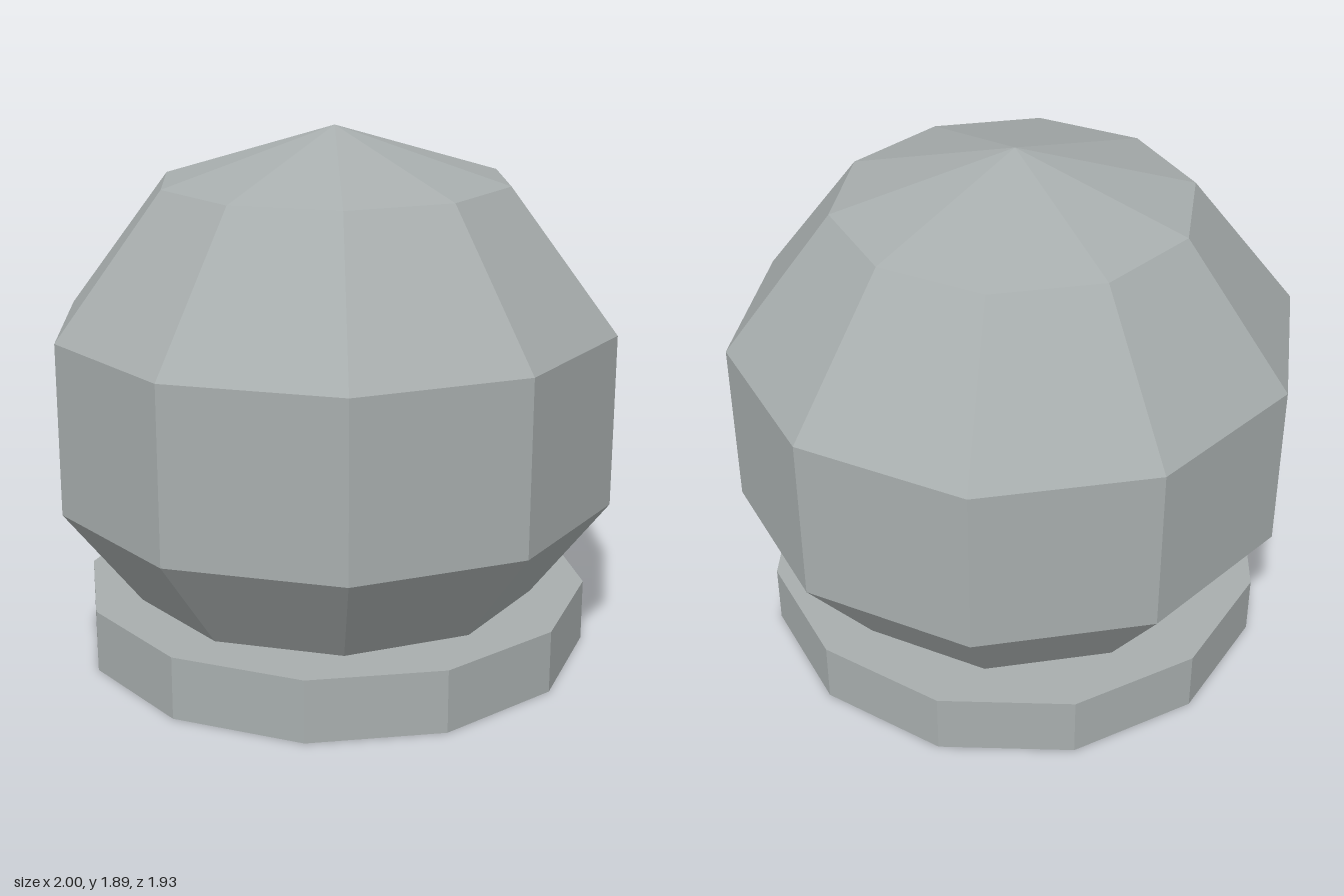
import * as THREE from 'three';

const stone = new THREE.MeshStandardMaterial({ color: 0xa8aeae });
stone.name = 'grey stone';

// Faceted ring between two heights, with hard edges between its sides
function ring(name, sides, turn, [r0, y0], [r1, y1], open) {
  const h = y1 - y0;
  const shape = r1 === 0
    ? new THREE.ConeGeometry(r0, h, sides, 1, open, turn)
    : new THREE.CylinderGeometry(r1, r0, h, sides, 1, open, turn);
  const geometry = shape.toNonIndexed();
  geometry.translate(0, (y0 + y1) / 2, 0);
  geometry.computeVertexNormals();
  const mesh = new THREE.Mesh(geometry, stone);
  mesh.name = name;
  return mesh;
}

export function createModel() {
  const model = new THREE.Group();
  model.name = 'facetedKnob';

  // Twelve-sided foot, flat sides facing front and right
  model.add(ring('foot', 12, Math.PI / 12, [0.92, 0], [0.92, 0.225], false));

  // Ten-sided head stacked from rings, corners on the x axis
  const head = new THREE.Group();
  head.name = 'head';
  const profile = [[0.71, 0.2], [1, 0.585], [1, 1.2], [0.62, 1.7], [0, 1.89]];
  ['neck', 'drum', 'shoulder', 'cap'].forEach((name, i) => {
    head.add(ring(name, 10, Math.PI / 10, profile[i], profile[i + 1], true));
  });
  head.scale.z = 1.015;
  model.add(head);

  return model;
}
